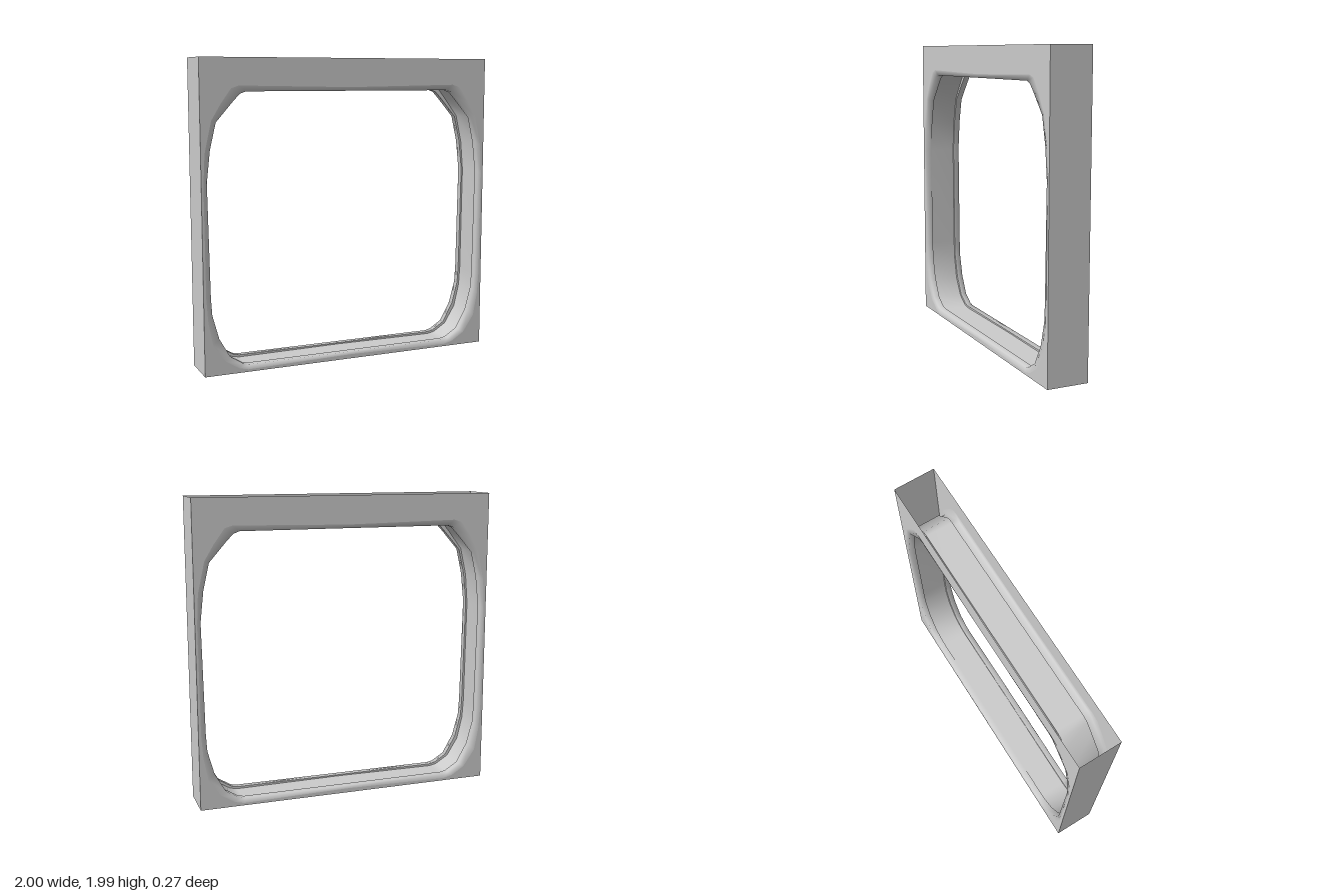
import * as THREE from 'three';

const HEIGHT = 1.985;
const DEPTH = 0.136;   // half depth of the case
const RIM = 0.131;     // z of the rim's inner edge
const GROOVE = 0.09;   // half width of the recessed band

const material = new THREE.MeshStandardMaterial({ color: 0xcccccc, side: THREE.DoubleSide });

// Right half of each opening, from bottom centre to top centre
const outerHalf = [
  [0, 0.028], [0.715, 0.016], [0.775, 0.03], [0.865, 0.085], [0.945, 0.2], [0.973, 0.35], [0.983, 0.5],
  [0.986, 1.2], [0.975, 1.4], [0.93, 1.6], [0.87, 1.7], [0.8, 1.797], [0.75, 1.813], [0, 1.8],
];
const innerHalf = [
  [0, 0.047], [0.705, 0.047], [0.745, 0.055], [0.83, 0.107], [0.903, 0.235], [0.945, 0.39], [0.952, 0.5],
  [0.963, 1.22], [0.94, 1.42], [0.9, 1.59], [0.79, 1.715], [0.745, 1.762], [0.705, 1.777], [0, 1.777],
];

// Mirror a half outline into a closed anticlockwise loop
function closeLoop(half) {
  const mirrored = half.slice(1, -1).reverse().map(([x, y]) => [-x, y]);
  return [...half, ...mirrored];
}

const outer = closeLoop(outerHalf);
const inner = closeLoop(innerHalf);
const middle = inner.map(([x, y], i) => [
  x + (outer[i][0] - x) * 0.45,
  y + (outer[i][1] - y) * 0.45,
]);

// Skin a chain of loops, each given as [outline, z]
function loft(name, loops) {
  const n = loops[0][0].length;
  const positions = [];
  const index = [];
  for (const [outline, z] of loops) {
    for (const [x, y] of outline) positions.push(x, y, z);
  }
  for (let i = 0; i < loops.length - 1; i++) {
    for (let j = 0; j < n; j++) {
      const k = (j + 1) % n;
      const a = i * n + j, b = i * n + k;
      index.push(a, b, b + n, a, b + n, a + n);
    }
  }
  const geometry = new THREE.BufferGeometry();
  geometry.setAttribute('position', new THREE.Float32BufferAttribute(positions, 3));
  geometry.setIndex(index);
  geometry.computeVertexNormals();
  const mesh = new THREE.Mesh(geometry, material);
  mesh.name = name;
  return mesh;
}

export function createModel() {
  const group = new THREE.Group();
  group.name = 'windowFrame';

  // Front and back panels with the rounded opening
  const shape = new THREE.Shape([[-1, 0], [1, 0], [1, HEIGHT], [-1, HEIGHT]].map(p => new THREE.Vector2(...p)));
  shape.holes.push(new THREE.Path(outer.map(p => new THREE.Vector2(...p))));
  const panelGeometry = new THREE.ShapeGeometry(shape);
  for (const side of [1, -1]) {
    const panel = new THREE.Mesh(panelGeometry, material);
    panel.name = side > 0 ? 'frontPanel' : 'backPanel';
    panel.position.z = side * DEPTH;
    if (side < 0) panel.rotation.y = Math.PI;
    group.add(panel);
  }

  // Side walls; top and bottom stay open
  const wallGeometry = new THREE.PlaneGeometry(2 * DEPTH, HEIGHT);
  for (const side of [1, -1]) {
    const wall = new THREE.Mesh(wallGeometry, material);
    wall.name = side > 0 ? 'leftWall' : 'rightWall';
    wall.position.set(side, HEIGHT / 2, 0);
    wall.rotation.y = side * Math.PI / 2;
    group.add(wall);
  }

  // Rims, the steps behind them and the recessed band lining the opening
  group.add(
    loft('frontRim', [[outer, DEPTH], [inner, RIM], [inner, GROOVE]]),
    loft('frontStep', [[inner, GROOVE], [middle, GROOVE]]),
    loft('liningBand', [[middle, GROOVE], [middle, -GROOVE]]),
    loft('backStep', [[middle, -GROOVE], [inner, -GROOVE]]),
    loft('backRim', [[inner, -GROOVE], [inner, -RIM], [outer, -DEPTH]]),
  );
  return group;
}
